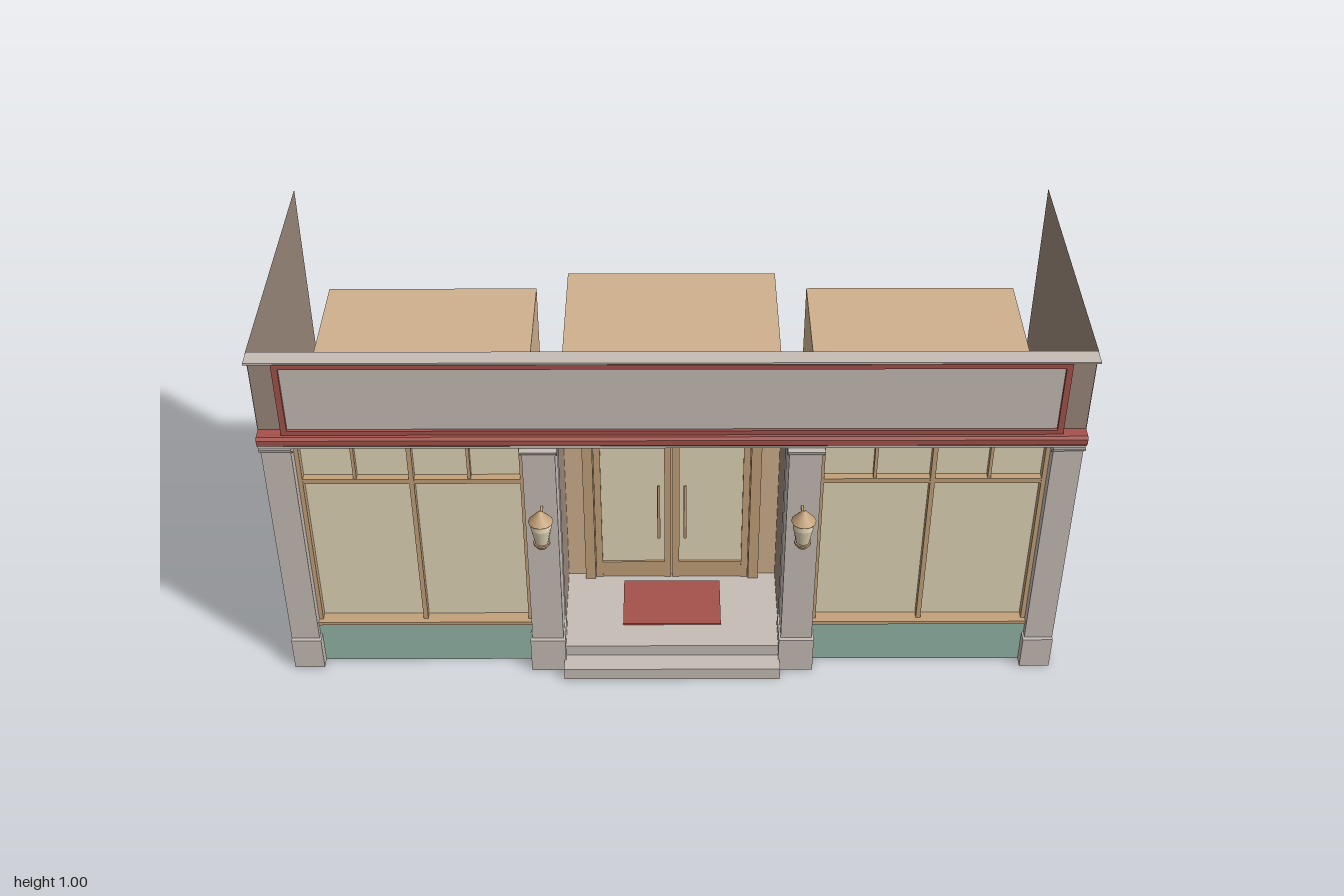
import * as THREE from 'three';

const mat = (name, color, side = THREE.FrontSide) => {
  const m = new THREE.MeshStandardMaterial({ color, side });
  m.name = name;
  return m;
};

export function createModel() {
  const root = new THREE.Group();
  root.name = 'shopfront';
  const stone = mat('stone', 0xc6bdb6);
  const brown = mat('brownWall', 0x9c897c, THREE.DoubleSide);
  const tan = mat('tanWall', 0xd0b18e);
  const wood = mat('tanFrame', 0xc4a27a);
  const glass = mat('creamGlass', 0xe2d6b8);
  const teal = mat('tealPanel', 0x95b6a8);
  const red = mat('redTrim', 0xa4524a);
  const dark = mat('darkGrey', 0x6c6e6a);
  const floor = mat('floorGrey', 0xacaca6);
  const lamp = mat('lampGlow', 0xe6d8b2);

  const add = (name, geo, material, parent = root) => {
    const m = new THREE.Mesh(geo, material);
    m.name = name;
    parent.add(m);
    return m;
  };
  // box given by its limits on each axis
  const box = (name, material, x0, x1, y0, y1, z0, z1, parent = root) => {
    const m = add(name, new THREE.BoxGeometry(Math.abs(x1 - x0), y1 - y0, z1 - z0), material, parent);
    m.position.set((x0 + x1) / 2, (y0 + y1) / 2, (z0 + z1) / 2);
    return m;
  };
  // moulding: (z, y) profile swept along x
  const moulding = (name, material, profile, x0, x1) => {
    const shape = new THREE.Shape(profile.map(([z, y]) => new THREE.Vector2(z, y)));
    const geo = new THREE.ExtrudeGeometry(shape, { depth: x1 - x0, bevelEnabled: false });
    geo.rotateY(-Math.PI / 2).translate(x1, 0, 0);
    return add(name, geo, material);
  };
  // upright wall at constant x
  const sideWall = (name, x, y0, y1, z0, z1) => {
    const m = add(name, new THREE.PlaneGeometry(z1 - z0, y1 - y0), brown);
    m.rotation.y = Math.sign(x) * Math.PI / 2;
    m.position.set(x, (y0 + y1) / 2, (z0 + z1) / 2);
  };

  // rooms behind the front
  const room = [tan, tan, tan, floor, glass, tan];
  box('leftRoom', room, 0.365, 0.925, 0.003, 0.735, -0.36, 0.28);
  box('rightRoom', room, -0.925, -0.365, 0.003, 0.735, -0.36, 0.28);
  box('centreRoom', [tan, tan, tan, floor, tan, tan], -0.283, 0.283, 0.07, 0.735, -0.434, 0.05);

  // sign board with red frame
  box('signPanel', stone, -0.925, 0.925, 0.787, 0.968, 0.323, 0.332);
  box('signBack', dark, -0.925, 0.925, 0.787, 0.968, 0.316, 0.323);
  box('signFrameTop', red, -0.94, 0.94, 0.968, 0.981, 0.312, 0.34);
  box('signFrameBottom', red, -0.94, 0.94, 0.774, 0.787, 0.312, 0.34);

  // cornice, red band and ledge
  moulding('topCornice', stone, [[0.312, 0.98], [0.328, 0.98], [0.335, 0.984], [0.345, 0.987],
    [0.354, 0.993], [0.358, 0.995], [0.358, 1], [0.312, 1]], -0.999, 0.999);
  moulding('redBand', red, [[0.31, 0.748], [0.349, 0.748], [0.354, 0.753], [0.354, 0.768],
    [0.348, 0.775], [0.31, 0.775]], -0.999, 0.999);
  box('ledge', stone, -0.999, 0.999, 0.738, 0.748, 0.305, 0.345);
  box('header', brown, -0.93, 0.93, 0.736, 0.75, 0.272, 0.312);

  for (const s of [1, -1]) {
    sideWall('sideWall', s, 0, 1, -0.434, 0.317);
    sideWall('recessWall', s * 0.282, 0.07, 0.735, 0.05, 0.26);
    box('signFrameSide', red, s * 0.925, s * 0.94, 0.787, 0.968, 0.312, 0.34);
    box('signCorner', brown, s * 0.94, s * 0.999, 0.775, 0.98, 0.311, 0.317);

    // pillars with plinth and cap; the outer pair is set back and hollow behind
    for (const [a, b, top, back, front] of [[0.925, 0.998, 0.095, 0.308, 0.33], [0.284, 0.365, 0.105, 0.25, 0.342]]) {
      const e = a < 0.5 ? 0.005 : 0;
      box('pillar', stone, s * a, s * b, 0, 0.738, back, front);
      box('plinth', stone, s * (a - 0.005), s * (b + e), 0, top, back, front + 0.011);
      const x0 = s > 0 ? a - 0.005 : -b - e, x1 = s > 0 ? b + e : -a + 0.005;
      moulding('pillarCap', stone, [[-0.035, 0.713], [0, 0.713], [0.002, 0.72], [0.009, 0.726],
        [0.019, 0.73], [0.021, 0.738], [-0.035, 0.738]].map(([z, y]) => [front + z, y]), x0, x1);
    }
    box('pillarReturn', stone, s * 0.925, s * 0.935, 0, 0.738, 0.25, 0.308);

    // shop window: kick panel, frame and glazing bars
    const win = new THREE.Group();
    win.name = 'shopWindow';
    root.add(win);
    box('kickPanel', teal, s * 0.365, s * 0.925, 0.001, 0.128, 0.28, 0.312, win);
    box('sill', wood, s * 0.365, s * 0.925, 0.128, 0.138, 0.28, 0.316, win);
    box('transomBar', wood, s * 0.365, s * 0.925, 0.592, 0.606, 0.28, 0.3, win);
    box('headBar', wood, s * 0.365, s * 0.925, 0.727, 0.737, 0.28, 0.3, win);
    for (const x of [0.37, 0.645, 0.92])
      box('mullion', wood, s * (x - 0.006), s * (x + 0.006), 0.13, 0.73, 0.28, 0.302, win);
    for (const x of [0.502, 0.785])
      box('glazingBar', wood, s * (x - 0.004), s * (x + 0.004), 0.6, 0.73, 0.28, 0.297, win);

    // door leaf
    const door = new THREE.Group();
    door.name = 'door';
    root.add(door);
    box('doorGlass', glass, s * 0.02, s * 0.19, 0.125, 0.57, 0.05, 0.058, door);
    box('innerStile', wood, s * 0.002, s * 0.02, 0.073, 0.585, 0.05, 0.066, door);
    box('outerStile', wood, s * 0.188, s * 0.206, 0.073, 0.585, 0.05, 0.066, door);
    box('bottomRail', wood, s * 0.02, s * 0.19, 0.073, 0.125, 0.05, 0.064, door);
    box('topRail', wood, s * 0.02, s * 0.19, 0.57, 0.585, 0.05, 0.066, door);
    const handle = add('handle', new THREE.CylinderGeometry(0.004, 0.004, 0.18, 8), wood, door);
    handle.position.set(s * 0.035, 0.315, 0.08);
    for (const y of [0.25, 0.38])
      box('handleMount', wood, s * 0.033, s * 0.037, y - 0.002, y + 0.002, 0.055, 0.08, door);
    box('doorJamb', wood, s * 0.208, s * 0.235, 0.07, 0.73, 0.045, 0.07);

    // lantern on a bracket
    const lantern = new THREE.Group();
    lantern.name = 'lantern';
    lantern.position.set(s * 0.322, 0, 0.403);
    root.add(lantern);
    const ring = (name, m, rt, rb, y0, y1) => {
      add(name, new THREE.CylinderGeometry(rt, rb, y1 - y0, 12), m, lantern).position.y = (y0 + y1) / 2;
    };
    ring('lanternRoof', wood, 0.003, 0.031, 0.557, 0.59);
    ring('lanternGlass', glass, 0.024, 0.026, 0.538, 0.557);
    ring('lanternGlassLower', glass, 0.026, 0.017, 0.492, 0.538);
    ring('lanternCollar', wood, 0.021, 0.021, 0.486, 0.492);
    ring('lanternFoot', wood, 0.018, 0.013, 0.475, 0.486);
    box('bracket', wood, -0.003, 0.003, 0.548, 0.555, -0.065, 0, lantern);
  }

  // door surround and fanlight
  box('doorHead', wood, -0.208, 0.208, 0.587, 0.603, 0.045, 0.07);
  box('fanlight', glass, -0.208, 0.208, 0.603, 0.717, 0.05, 0.058);
  box('fanlightHead', wood, -0.235, 0.235, 0.715, 0.732, 0.045, 0.07);

  // recess ceiling with light
  box('recessCeiling', stone, -0.282, 0.282, 0.728, 0.735, 0.06, 0.3);
  box('ceilingLight', lamp, -0.07, 0.07, 0.716, 0.728, 0.165, 0.205);
  box('ceilingLightTop', lamp, -0.07, 0.07, 0.733, 0.737, 0.165, 0.205);

  // steps and door mat
  const step = [stone, stone, stone, floor, stone, stone];
  box('lowerStep', step, -0.283, 0.283, 0, 0.036, 0.06, 0.388);
  box('upperStep', step, -0.283, 0.283, 0.036, 0.07, 0.045, 0.335);
  box('doorMat', red, -0.13, 0.13, 0.07, 0.075, 0.085, 0.255);

  return root;
}
